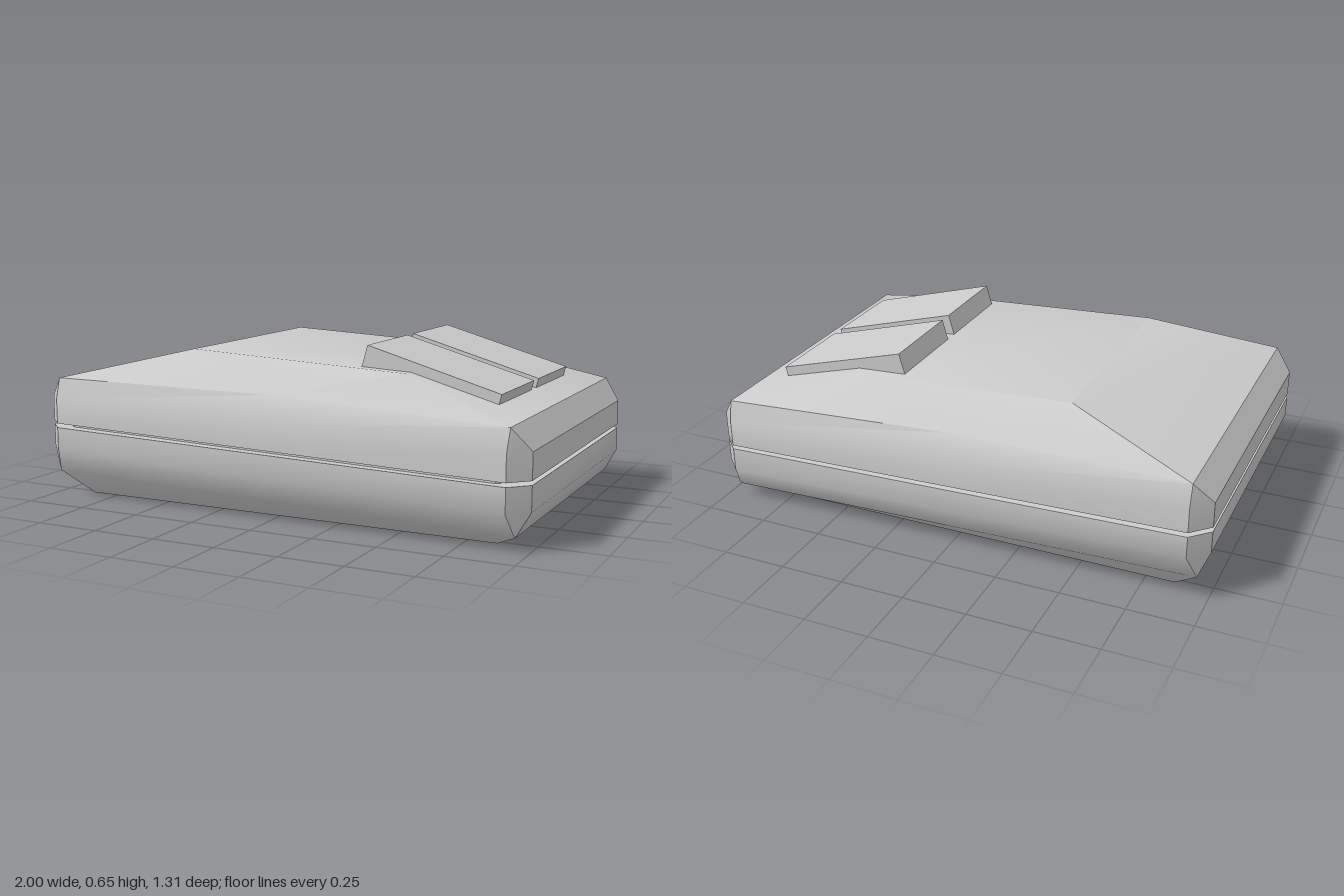
import * as THREE from 'three';
import { toCreasedNormals } from 'three/addons/utils/BufferGeometryUtils.js';

const material = new THREE.MeshStandardMaterial({ color: 0xcccccc, side: THREE.DoubleSide });
const V = (x, y, z) => new THREE.Vector3(x, y, z);

// Chamfered rectangle, counterclockwise from above; height differs at left and right ends
function ring(xL, xR, z, c, yL, yR, zMid = z) {
  const yM = (yL + yR) / 2;
  return [
    V(xL + c, yL, z), V(0, yM, zMid), V(xR - c, yR, z),
    V(xR, yR, z - c), V(xR, yR, c - z),
    V(xR - c, yR, -z), V(0, yM, -zMid), V(xL + c, yL, -z),
    V(xL, yL, c - z), V(xL, yL, z - c),
  ];
}

// Adds a fan of triangles, leaving out collapsed ones
function face(tris, ...p) {
  for (let i = 1; i < p.length - 1; i++) {
    const t = new THREE.Triangle(p[0], p[i], p[i + 1]);
    if (t.getArea() > 1e-7) tris.push(t.a, t.b, t.c);
  }
}

function loft(rings) {
  const tris = [];
  for (let r = 0; r < rings.length - 1; r++) {
    const a = rings[r], b = rings[r + 1], n = a.length;
    for (let i = 0; i < n; i++) {
      const j = (i + 1) % n;
      face(tris, a[i], a[j], b[j], b[i]);
    }
  }
  return tris;
}

function meshOf(tris, name) {
  const geometry = toCreasedNormals(new THREE.BufferGeometry().setFromPoints(tris), 0.61);
  const mesh = new THREE.Mesh(geometry, material);
  mesh.name = name;
  return mesh;
}

export function createModel() {
  const group = new THREE.Group();
  group.name = 'cushionedCase';

  const seamLow = ring(-1, 1, 0.655, 0.07, 0.285, 0.235);
  const seamHigh = ring(-1, 1, 0.655, 0.07, 0.302, 0.25);

  // Lower body: open underneath, with rounded-in edges
  group.add(meshOf(loft([
    ring(-0.86, 0.86, 0.52, 0, 0, 0),
    ring(-0.96, 0.95, 0.605, 0, 0.1, 0.05),
    ring(-1, 1, 0.655, 0.07, 0.2, 0.14),
    seamLow,
  ]), 'lowerBody'));

  // Recessed seam between the halves
  group.add(meshOf(loft([
    seamLow,
    ring(-0.94, 0.94, 0.615, 0.06, 0.285, 0.235),
    ring(-0.94, 0.94, 0.615, 0.06, 0.302, 0.25),
    seamHigh,
  ]), 'seam'));

  // Upper body: walls, then a faceted roof with sloping side panels
  const rim = ring(-0.93, 0.935, 0.632, 0, 0.482, 0.435, 0.61);
  rim[1].y = rim[6].y = 0.475;
  const upper = loft([seamHigh, ring(-1, 1, 0.655, 0.07, 0.4, 0.35), rim]);
  const [A, M, D] = rim, [D2, M2, A2] = rim.slice(5, 8);
  const B = V(-0.42, 0.604, 0.445), C = V(0.48, 0.562, 0.445);
  const B2 = V(-0.42, 0.604, -0.445), C2 = V(0.48, 0.562, -0.445);
  face(upper, A, M, B);
  face(upper, M, C, B);
  face(upper, M, D, C);
  face(upper, M2, A2, B2);
  face(upper, M2, B2, C2);
  face(upper, M2, C2, D2);
  face(upper, A, B, B2, A2);
  face(upper, B, C, C2, B2);
  face(upper, C, D, D2, C2);
  group.add(meshOf(upper, 'upperBody'));

  // Pair of sloping wedge pads on top
  const profile = new THREE.Shape([
    [0.282, 0.572], [0.815, 0.466], [0.825, 0.505], [0.305, 0.652],
  ].map(([x, y]) => new THREE.Vector2(x, y)));
  const padGeometry = new THREE.ExtrudeGeometry(profile, { depth: 0.375, bevelEnabled: false });
  for (const [name, z] of [['frontPad', 0.028], ['rearPad', -0.403]]) {
    const pad = new THREE.Mesh(padGeometry, material);
    pad.name = name;
    pad.position.z = z;
    group.add(pad);
  }

  return group;
}
